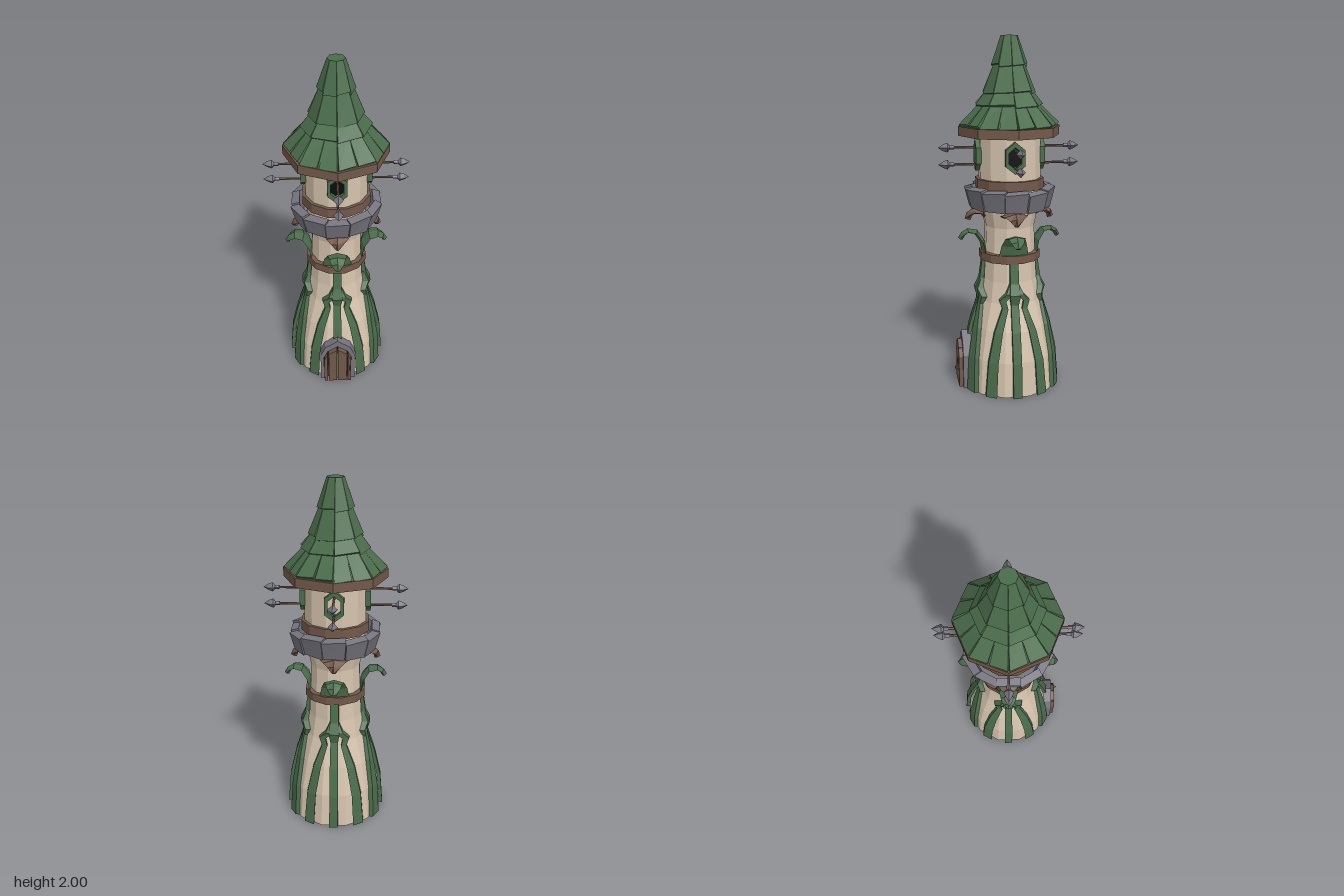
import * as THREE from 'three';

const mat = (name, color) => Object.assign(new THREE.MeshStandardMaterial({ color }), { name });
const cream = mat('cream plaster', 0xd6c4ae);
const green = mat('leaf green', 0x4a6c4b);
const brown = mat('wood brown', 0x73594a);
const darkBrown = mat('dark wood', 0x3a2c25);
const gray = mat('stone gray', 0x76757e);
const black = mat('window black', 0x0b0c0c);

const V = (x, y, z) => new THREE.Vector3(x, y, z);
const lerp = THREE.MathUtils.lerp;

function add(parent, name, geometry, material) {
  const g = geometry.index ? geometry.toNonIndexed() : geometry;
  g.computeVertexNormals(); // faceted look
  const mesh = new THREE.Mesh(g, material);
  mesh.name = name;
  parent.add(mesh);
  return mesh;
}

// Solid through a row of equal rings, capped at both ends
function loft(rings) {
  const n = rings[0].length, pts = [];
  for (let i = 0; i < rings.length - 1; i++) {
    const a = rings[i], b = rings[i + 1];
    for (let j = 0; j < n; j++) {
      const k = (j + 1) % n;
      pts.push(a[j], a[k], b[k], a[j], b[k], b[j]);
    }
  }
  const s = rings[0], e = rings[rings.length - 1];
  for (let j = 1; j < n - 1; j++) pts.push(s[0], s[j + 1], s[j], e[0], e[j], e[j + 1]);
  return new THREE.BufferGeometry().setFromPoints(pts);
}

// Four-cornered plate, corners counter-clockwise from outside
function slab(corners, t) {
  const n = corners[1].clone().sub(corners[0]).cross(corners[3].clone().sub(corners[0])).normalize();
  return loft([corners.map(p => p.clone().addScaledVector(n, -t)), corners]);
}

function frustum(r0, r1, y0, y1, sides, turn = 0) {
  return new THREE.CylinderGeometry(r1, r0, y1 - y0, sides, 1).rotateY(turn).translate(0, (y0 + y1) / 2, 0);
}

function polygon(points) {
  return new THREE.Shape(points.map(([x, y]) => new THREE.Vector2(x, y)));
}
const extrude = (shape, z0, z1) =>
  new THREE.ExtrudeGeometry(shape, { depth: z1 - z0, bevelEnabled: false }).translate(0, 0, z0);

// Tower wall profile: radius, height
const TURN = Math.PI / 12;
const wall = [[0.28, 0], [0.264, 0.2], [0.226, 0.37], [0.178, 0.52], [0.157, 0.64], [0.15, 0.76],
  [0.146, 0.85], [0.143, 0.95], [0.165, 1.06], [0.176, 1.2], [0.176, 1.47]];
function wallRadius(y) {
  const i = Math.max(1, wall.findIndex(p => p[1] >= y));
  const [r0, y0] = wall[i - 1], [r1, y1] = wall[i];
  return lerp(r0, r1, (y - y0) / (y1 - y0));
}

// Strip hugging the wall; path of [sideways, height, half width, bulge]
function vine(path) {
  return loft(path.map(([x, y, w, bulge = 0]) => {
    const r = wallRadius(y) + 0.013 + bulge;
    const p = (px, rad) => V(px, y, Math.sqrt(rad * rad - px * px));
    return [p(x - w, r), p(x + w, r), p(x + w, r - 0.045 - bulge), p(x - w, r - 0.045 - bulge)];
  }));
}

// Curling leaf; path of [radius, height, half width]
function leaf(path, t) {
  return loft(path.map(([r, y, w], i) => {
    const a = path[Math.max(0, i - 1)], b = path[Math.min(path.length - 1, i + 1)];
    const l = Math.hypot(b[0] - a[0], b[1] - a[1]);
    const nr = (b[1] - a[1]) / l * t, ny = -(b[0] - a[0]) / l * t;
    return [V(-w, y, r), V(0, y + ny, r + nr), V(w, y, r), V(0, y - ny, r - nr)];
  }));
}

function buildRoof(parent) {
  const roof = new THREE.Group();
  roof.name = 'roof';
  parent.add(roof);
  add(roof, 'roofRim', frustum(0.287, 0.287, 1.46, 1.512, 8), brown);
  // Tiers: bottom radius, top radius, bottom y, top y, tiles per side
  const tiers = [[0.285, 0.16, 1.522, 1.645, 2], [0.192, 0.122, 1.632, 1.715, 1],
    [0.15, 0.084, 1.70, 1.855, 1], [0.102, 0.047, 1.845, 2, 1]];
  tiers.forEach(([r0, r1, y0, y1, count], t) => {
    add(roof, 'roofCore', frustum(r0 - 0.012, r1 - 0.002, y0 - 0.01, y1 - 0.001, 8), green);
    const corner = (k, r, y) => V(Math.sin(k * Math.PI / 4) * r, y, Math.cos(k * Math.PI / 4) * r);
    for (let side = 0; side < 8; side++) {
      for (let c = 0; c < count; c++) {
        const along = (f, r, y) => corner(side, r, y).lerp(corner(side + 1, r, y), f);
        const f0 = c / count, f1 = (c + 1) / count;
        const drop = ((side * 5 + c * 3 + t) % 3) * 0.006;
        const g = 0.025;
        add(roof, 'roofTile', slab([along(f0 + g, r0, y0 - drop), along(f1 - g, r0, y0 + 0.006 - drop),
          along(f1, r1, y1), along(f0, r1, y1)], 0.018), green);
      }
    }
  });
}

function buildParapet(parent) {
  const parapet = new THREE.Group();
  parapet.name = 'parapet';
  parent.add(parapet);
  add(parapet, 'parapetFloor', frustum(0.2, 0.225, 1.055, 1.1, 12, TURN), gray);
  for (let i = 0; i < 12; i++) {
    const lift = ((i * 7) % 4) * 0.005, out = ((i * 5) % 3) * 0.004;
    const block = slab([V(-0.058, 1.05 + lift, 0.22 + out), V(0.058, 1.055, 0.22 + out),
      V(0.066, 1.16 + lift, 0.248 + out), V(-0.066, 1.152 + lift, 0.248 + out)], 0.045);
    add(parapet, 'parapetStone', block, gray).rotation.y = i * Math.PI / 6;
  }
}

function buildDoor(parent) {
  const door = new THREE.Group();
  door.name = 'door';
  parent.add(door);
  const inner = [[0.083, 0], [0.083, 0.185], [0.06, 0.235], [0, 0.275], [-0.06, 0.235], [-0.083, 0.185], [-0.083, 0]];
  const outer = [[-0.104, 0], [-0.104, 0.2], [-0.075, 0.268], [0, 0.32], [0.075, 0.268], [0.104, 0.2], [0.104, 0]];
  add(door, 'doorArch', extrude(polygon([...outer, ...inner]), 0.2, 0.287), gray);
  add(door, 'doorBacking', extrude(polygon(inner), 0.21, 0.275), darkBrown);
  const top = x => (Math.abs(x) > 0.06 ? lerp(0.235, 0.185, (Math.abs(x) - 0.06) / 0.023)
    : lerp(0.275, 0.235, Math.abs(x) / 0.06)) - 0.006;
  for (const [a, b] of [[-0.081, -0.062], [-0.055, -0.004], [0.002, 0.055], [0.062, 0.081]]) {
    add(door, 'doorPlank', extrude(polygon([[a, 0], [b, 0], [b, top(b)], [a, top(a)]]), 0.27, 0.31), brown);
  }
  add(door, 'doorHandle', new THREE.TorusGeometry(0.014, 0.003, 5, 10).rotateY(Math.PI / 2)
    .translate(0.073, 0.12, 0.318), gray);
}

// Parts repeated on all four sides, modelled facing the front
function buildSide(parent, i) {
  const side = new THREE.Group();
  side.name = 'side' + (i + 1);
  side.rotation.y = i * Math.PI / 2;
  parent.add(side);

  // Vines
  add(side, 'middleVine', vine([[0, 0, 0.025], [0, 0.2, 0.025], [0, 0.37, 0.024], [0, 0.52, 0.022],
    [0, 0.58, 0.03, 0.028], [0, 0.64, 0.025, 0.01], [0, 0.76, 0.024]]), green);
  for (const s of [-1, 1]) {
    add(side, 'sideVine', vine([[0.146, 0, 0.029], [0.132, 0.2, 0.026], [0.098, 0.37, 0.022], [0.055, 0.5, 0.016],
      [0.068, 0.545, 0.018, 0.008], [0.03, 0.585, 0.02, 0.02], [0.008, 0.64, 0.018]]
      .map(([x, y, w, b]) => [x * s, y, w, b])), green);
  }

  // Curled leaf above the band and claw bracket under the parapet
  add(side, 'curledLeaf', leaf([[0.145, 0.79, 0.085], [0.16, 0.86, 0.072], [0.195, 0.91, 0.055],
    [0.24, 0.918, 0.045], [0.268, 0.9, 0.035], [0.284, 0.872, 0.015]], 0.014), green);
  add(side, 'clawBracket', leaf([[0.13, 1.0, 0.03], [0.16, 1.03, 0.08], [0.205, 1.032, 0.06],
    [0.23, 1.015, 0.035], [0.24, 0.985, 0.01]], 0.018), brown);

  // Window
  const hex = k => [[0, -0.088], [0.053, -0.045], [0.053, 0.045], [0, 0.088], [-0.053, 0.045], [-0.053, -0.045]]
    .map(([x, y]) => [x * k, y * k + 1.352]);
  const frame = polygon(hex(1));
  frame.holes.push(polygon(hex(0.66)));
  add(side, 'windowFrame', extrude(frame, 0.16, 0.195), green);
  if (i !== 2) add(side, 'windowPane', extrude(polygon(hex(0.68)), 0.168, 0.174), black);

  // Spears
  for (const y of [1.3, 1.395]) {
    add(side, 'spearShaft', new THREE.CylinderGeometry(0.007, 0.007, 0.18, 6).rotateX(Math.PI / 2)
      .translate(0, y, 0.25), brown);
    const head = new THREE.LatheGeometry([[0, 0.31], [0.012, 0.312], [0.011, 0.335], [0.027, 0.348], [0.018, 0.372], [0, 0.4]]
      .map(([r, h]) => new THREE.Vector2(r, h)), 4).rotateX(Math.PI / 2).translate(0, y, 0);
    add(side, 'spearHead', head, gray);
  }
}

export function createModel() {
  const tower = new THREE.Group();
  tower.name = 'tower';
  add(tower, 'towerWall', new THREE.LatheGeometry(wall.map(([r, y]) => new THREE.Vector2(r, y)), 12, TURN), cream);
  add(tower, 'towerBase', new THREE.CircleGeometry(0.28, 12).rotateZ(TURN).rotateX(Math.PI / 2), green);
  add(tower, 'lowerBand', frustum(0.176, 0.176, 0.755, 0.802, 12, TURN), brown);
  add(tower, 'upperBand', frustum(0.194, 0.194, 1.165, 1.222, 12, TURN), brown);
  buildParapet(tower);
  buildRoof(tower);
  buildDoor(tower);
  for (let i = 0; i < 4; i++) buildSide(tower, i);
  return tower;
}
